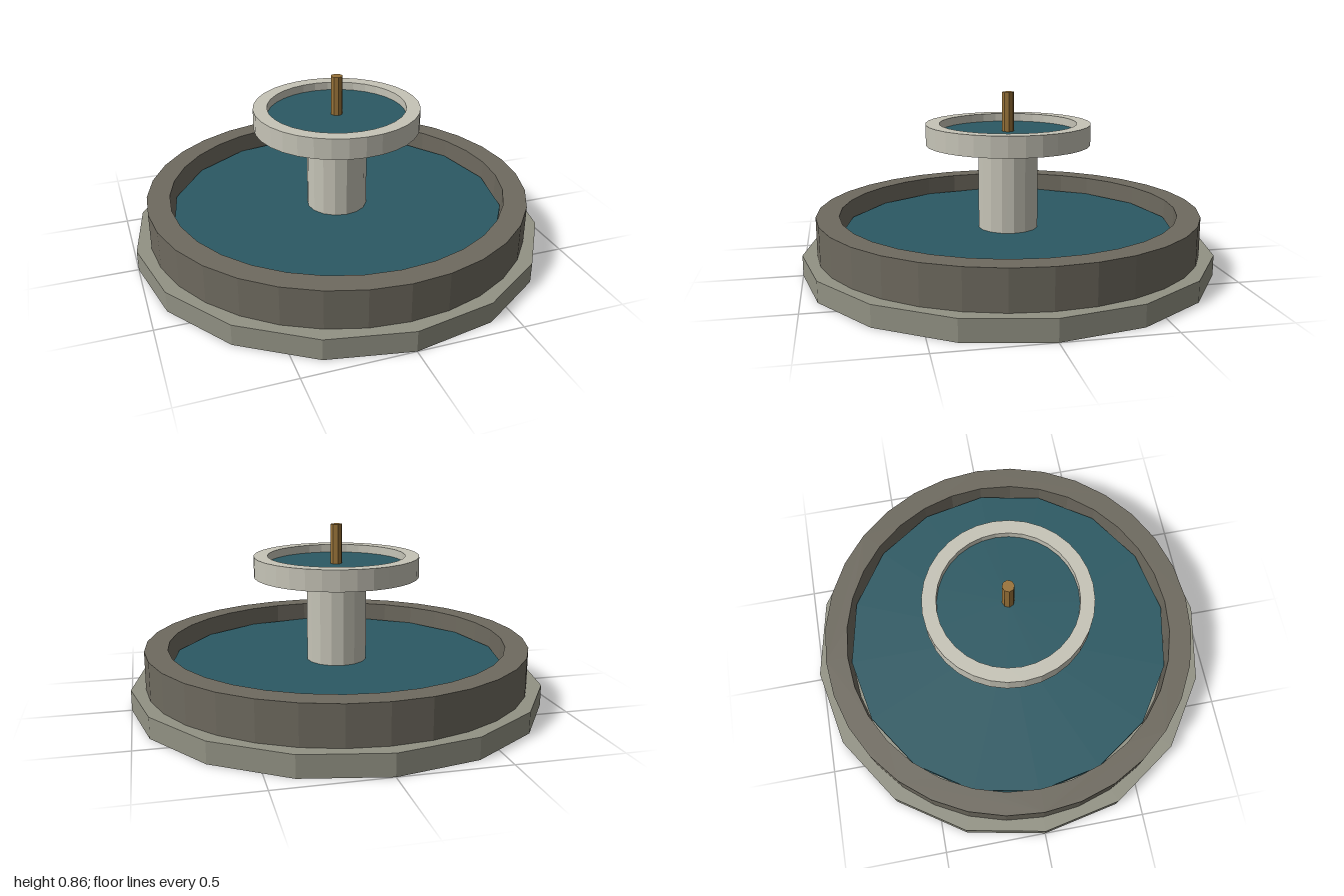
import * as THREE from 'three';

const mat = (name, color) => {
  const m = new THREE.MeshStandardMaterial({ color, flatShading: true });
  m.name = name;
  return m;
};

export function createModel() {
  const plinthStone = mat('plinth stone', 0x929284);
  const basinStone = mat('basin stone', 0x6e6a5f);
  const paleStone = mat('pale stone', 0xc6c4b7);
  const waterBlue = mat('water', 0x2b5963);
  const bronze = mat('bronze', 0x997339);

  const model = new THREE.Group();
  model.name = 'fountain';

  const add = (name, geometry, material, y = 0) => {
    const mesh = new THREE.Mesh(geometry, material);
    mesh.name = name;
    mesh.position.y = y;
    model.add(mesh);
  };

  // Solid upright cylinder from y0 to y1
  const disc = (name, radius, y0, y1, sides, material) =>
    add(name, new THREE.CylinderGeometry(radius, radius, y1 - y0, sides), material, (y0 + y1) / 2);

  // Square-edged ring from y0 to y1, 32 sides
  const ring = (name, outer, inner, y0, y1, material) => {
    const shape = new THREE.Shape().absarc(0, 0, outer, 0, Math.PI * 2, false);
    shape.holes.push(new THREE.Path().absarc(0, 0, inner, 0, Math.PI * 2, true));
    const geometry = new THREE.ExtrudeGeometry(shape, {
      depth: y1 - y0, bevelEnabled: false, curveSegments: 16,
    });
    add(name, geometry.rotateX(-Math.PI / 2), material, y0);
  };

  // Lower basin
  disc('plinth', 1, 0, 0.1, 16, plinthStone);
  ring('basinWall', 0.93, 0.82, 0.1, 0.285, basinStone);
  disc('basinWater', 0.815, 0.15, 0.195, 16, waterBlue);

  // Pedestal and upper bowl
  disc('pedestal', 0.147, 0.1, 0.63, 16, paleStone);
  ring('bowlRim', 0.4, 0.333, 0.61, 0.71, paleStone);
  disc('bowlFloor', 0.335, 0.612, 0.64, 32, paleStone);
  disc('bowlWater', 0.334, 0.645, 0.67, 32, waterBlue);

  // Spout
  disc('spout', 0.029, 0.64, 0.86, 8, bronze);

  return model;
}
